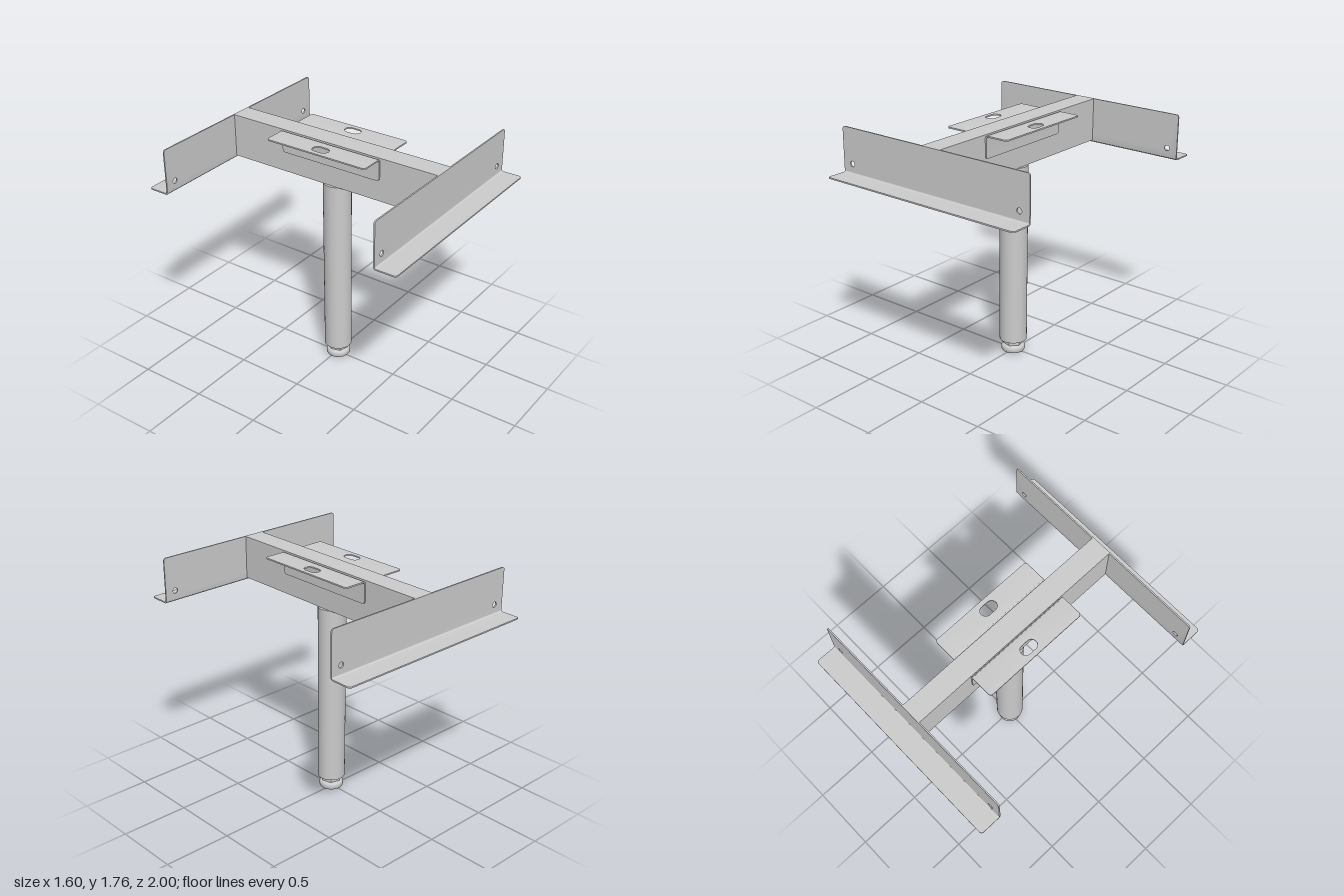
import * as THREE from 'three';
import { mergeGeometries, toCreasedNormals } from 'three/addons/utils/BufferGeometryUtils.js';

const material = new THREE.MeshStandardMaterial({ color: 0xcccccc });
const T = 0.01; // sheet thickness
const BEND = 0.02; // outer bend radius

function addMesh(parent, name, geometry, x = 0, y = 0, z = 0) {
  const mesh = new THREE.Mesh(geometry, material);
  mesh.name = name;
  mesh.position.set(x, y, z);
  parent.add(mesh);
  return mesh;
}

// Slot hole along u (a round hole when half equals r)
function slot(u, v, r, half = r) {
  const d = half - r;
  const p = new THREE.Path();
  p.absarc(u + d, v, r, -Math.PI / 2, Math.PI / 2, false);
  p.absarc(u - d, v, r, Math.PI / 2, Math.PI * 1.5, false);
  p.closePath();
  return p;
}

// One leaf of a folded sheet, with its two far corners rounded
function leaf(length, size, holes) {
  const h = length / 2, c = 0.02;
  const s = new THREE.Shape();
  s.moveTo(-h, BEND);
  s.lineTo(h, BEND);
  s.lineTo(h, size - c);
  s.absarc(h - c, size - c, c, 0, Math.PI / 2, false);
  s.absarc(-h + c, size - c, c, Math.PI / 2, Math.PI, false);
  s.closePath();
  s.holes = holes;
  return new THREE.ExtrudeGeometry(s, { depth: T, bevelEnabled: false, curveSegments: 8 });
}

// Folded angle: length along x, one leaf up +y, the other out along +z
function angleGeometry(length, height, width, uprightHoles, flangeHoles) {
  const upright = leaf(length, height, uprightHoles);
  const flange = leaf(length, width, flangeHoles).rotateX(Math.PI / 2).translate(0, T, 0);
  const arc = new THREE.Shape();
  arc.absarc(BEND, BEND, BEND, Math.PI, Math.PI * 1.5, false);
  arc.absarc(BEND, BEND, BEND - T, Math.PI * 1.5, Math.PI, true);
  arc.closePath();
  const bend = new THREE.ExtrudeGeometry(arc, { depth: length, bevelEnabled: false, curveSegments: 6 })
    .rotateY(-Math.PI / 2).translate(length / 2, 0, 0);
  return toCreasedNormals(mergeGeometries([upright, flange, bend]), 0.6);
}

export function createModel() {
  const model = new THREE.Group();
  model.name = 'supportLeg';

  // The whole support leans very slightly backwards
  const frame = new THREE.Group();
  frame.name = 'frame';
  frame.rotation.x = -0.0075;
  frame.position.set(0, 0.001, 0.011);
  model.add(frame);

  // Cross beam
  addMesh(frame, 'beam', new THREE.BoxGeometry(0.156, 0.316, 1.67), 0, 1.595, 0);

  // End angles, front and back
  const endAngle = angleGeometry(1.6, 0.333, 0.165,
    [slot(-0.72, 0.079, 0.02), slot(0.72, 0.079, 0.02)], []);
  for (const side of [1, -1]) {
    const m = addMesh(frame, side > 0 ? 'frontAngle' : 'backAngle', endAngle, 0, 1.42, side * 0.835);
    if (side < 0) m.rotation.y = Math.PI;
  }

  // Slotted brackets on both sides of the beam, flanges at the top
  const bracket = angleGeometry(0.8, 0.161, 0.18, [], [slot(0, 0.108, 0.038, 0.063)]);
  for (const side of [1, -1]) {
    const m = addMesh(frame, side > 0 ? 'leftBracket' : 'rightBracket', bracket, side * 0.078, 1.748, 0);
    m.rotation.set(0, side * Math.PI / 2, Math.PI);
  }

  // Leg tube
  addMesh(frame, 'leg', new THREE.CylinderGeometry(0.1, 0.1, 1.342, 48), 0, 0.766, 0);

  // Levelling foot: threaded stem, hexagonal nut and rounded pad
  addMesh(frame, 'footStem', new THREE.CylinderGeometry(0.028, 0.028, 0.07, 24), 0, 0.07, 0);
  const nut = toCreasedNormals(new THREE.CylinderGeometry(0.072, 0.072, 0.022, 6), 0.5);
  addMesh(frame, 'footNut', nut, 0, 0.068, 0).rotation.y = Math.PI / 12;
  const profile = [[0, 0], [0.072, 0], [0.081, 0.004], [0.087, 0.014], [0.087, 0.038],
    [0.082, 0.048], [0.068, 0.057], [0, 0.057]].map(([r, y]) => new THREE.Vector2(r, y));
  addMesh(frame, 'footPad', toCreasedNormals(new THREE.LatheGeometry(profile, 40), 0.6));

  return model;
}
